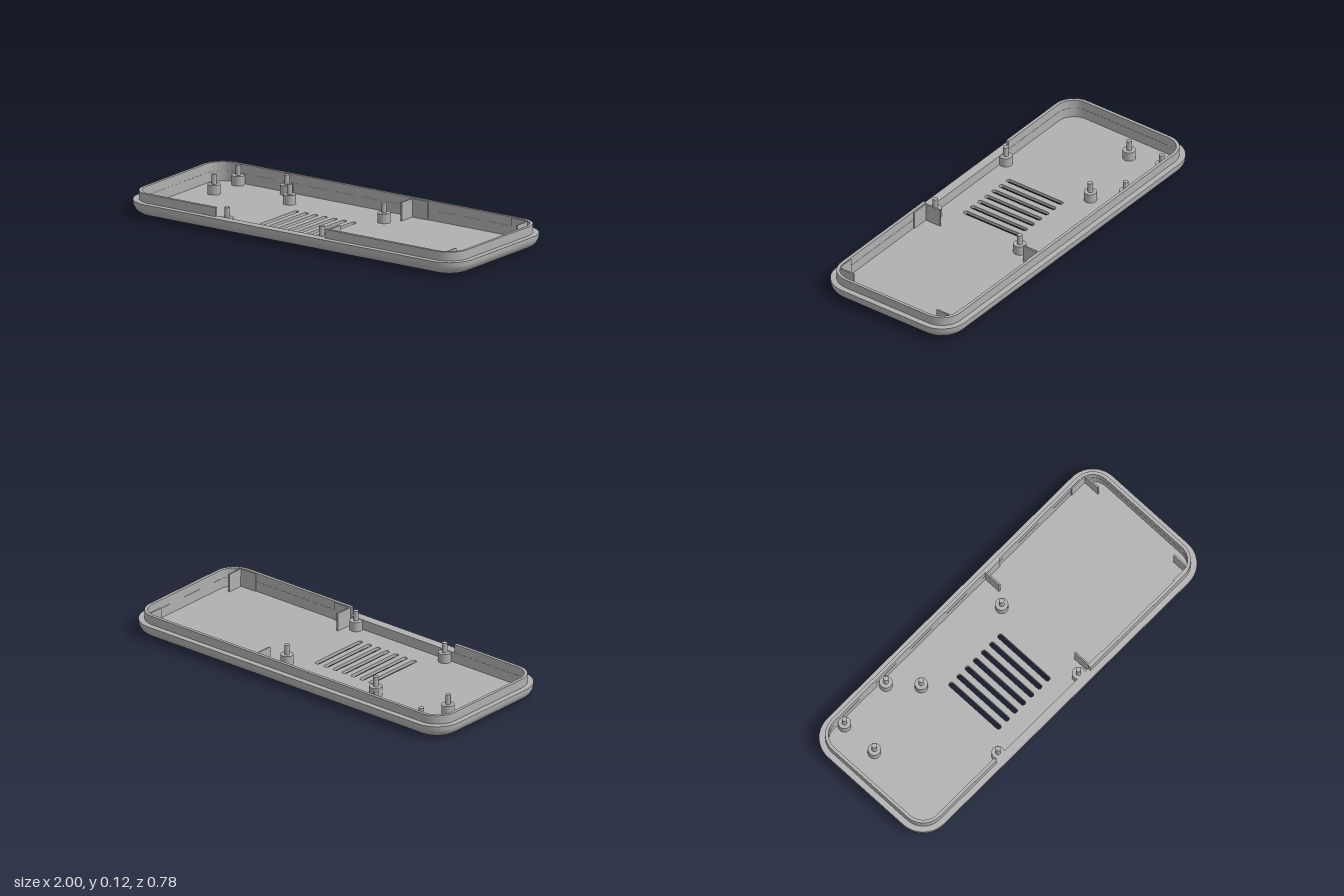
import * as THREE from 'three';
import { toCreasedNormals } from 'three/addons/utils/BufferGeometryUtils.js';

const HX = 1, HZ = 0.392, R = 0.14;          // outer half sizes and corner radius
const RIM = 0.068, LIP = 0.113, FLOOR = 0.017;

// Rounded rectangle, counter-clockwise from the front right corner (plan y = -z)
function outline(inset, seg = 10) {
  const hx = HX - inset, hy = HZ - inset, r = R - inset, pts = [];
  [[1, -1], [1, 1], [-1, 1], [-1, -1]].forEach(([sx, sy], k) => {
    for (let i = 0; i <= seg; i++) {
      const a = (k - 1 + i / seg) * Math.PI / 2;
      pts.push(new THREE.Vector2(sx * (hx - r) + r * Math.cos(a), sy * (hy - r) + r * Math.sin(a)));
    }
  });
  return pts;
}

// Skin a profile of [inset, height] pairs around the outline
function loft(profile) {
  const pos = [], index = [];
  let n = 0;
  profile.forEach(([inset, y]) => {
    const ring = outline(inset);
    n = ring.length;
    ring.forEach(p => pos.push(p.x, y, -p.y));
  });
  for (let i = 0; i < profile.length - 1; i++) {
    for (let j = 0; j < n; j++) {
      const a = i * n + j, b = i * n + (j + 1) % n;
      index.push(a, b, b + n, a, b + n, a + n);
    }
  }
  const g = new THREE.BufferGeometry();
  g.setAttribute('position', new THREE.Float32BufferAttribute(pos, 3));
  g.setIndex(index);
  return toCreasedNormals(g, 0.6);
}

// Extrude a plan shape upwards from y0 to y1
function slab(shape, y0, y1) {
  const g = new THREE.ExtrudeGeometry(shape, { depth: y1 - y0, bevelEnabled: false, curveSegments: 8 });
  g.rotateX(-Math.PI / 2);
  g.translate(0, y0, 0);
  return toCreasedNormals(g, 0.6);
}

export function createModel() {
  const model = new THREE.Group();
  model.name = 'enclosureHalf';
  const grey = new THREE.MeshStandardMaterial({ color: 0xb0b0b0 });
  grey.name = 'grey plastic';
  const add = (name, geometry, parent = model) => {
    const m = new THREE.Mesh(geometry, grey);
    m.name = name;
    parent.add(m);
    return m;
  };

  // Shell wall: rounded lower edge, flat rim, inner wall
  const profile = [];
  for (let i = 0; i <= 10; i++) {
    const a = i / 10 * Math.PI / 2;
    profile.push([0.062 * (1 - Math.sin(a)), 0.06 * (1 - Math.cos(a))]);
  }
  profile.push([0, RIM], [0.047, RIM], [0.047, FLOOR], [0.062, FLOOR]);
  add('shellWall', loft(profile));

  // Floor with seven vent slots
  const floor = new THREE.Shape(outline(0.062));
  const w = 0.013, back = 0.102, front = -0.238;
  for (let i = 0; i < 7; i++) {
    const x = -0.303 + i * 0.0572;
    const slot = new THREE.Path();
    slot.absarc(x, back - w, w, 0, Math.PI, false);
    slot.absarc(x, front + w, w, Math.PI, 2 * Math.PI, false);
    slot.closePath();
    floor.holes.push(slot);
  }
  add('ventedFloor', slab(floor, 0, FLOOR));

  // Raised lip, open along part of the front
  const gap = [0.2, -0.46];
  const side = inset => [
    new THREE.Vector2(gap[0], inset - HZ), ...outline(inset), new THREE.Vector2(gap[1], inset - HZ)];
  add('lip', slab(new THREE.Shape([...side(0.03), ...side(0.046).reverse()]), RIM - 0.004, LIP));

  // Mounting posts with locating pins
  [[-0.815, -0.317], [-0.525, -0.317], [-0.815, -0.118], [-0.413, -0.187],
    [0.152, -0.187], [-0.413, 0.327], [0.152, 0.327]].forEach(([x, z]) => {
    const post = new THREE.Group();
    post.name = 'mountingPost';
    post.position.set(x, 0, z);
    model.add(post);
    add('postBase', new THREE.CylinderGeometry(0.032, 0.032, 0.05, 24), post).position.y = FLOOR + 0.023;
    add('postPin', new THREE.CylinderGeometry(0.013, 0.013, 0.055, 16), post).position.y = 0.0885;
  });

  // L-shaped corner brackets along the front and back walls
  const t = 0.008, h = 0.094;
  for (const s of [-1, 1]) {
    for (const [x, dir] of [[0.207, 1], [0.9, -1]]) {
      const bracket = new THREE.Group();
      bracket.name = 'cornerBracket';
      bracket.position.set(x, FLOOR + h / 2 - 0.001, 0);
      model.add(bracket);
      add('bracketRib', new THREE.BoxGeometry(t, h, 0.095), bracket).position.z = s * 0.3;
      add('bracketFlange', new THREE.BoxGeometry(0.095, h, t), bracket).position.set(dir * 0.0475, 0, s * 0.344);
    }
  }
  return model;
}
